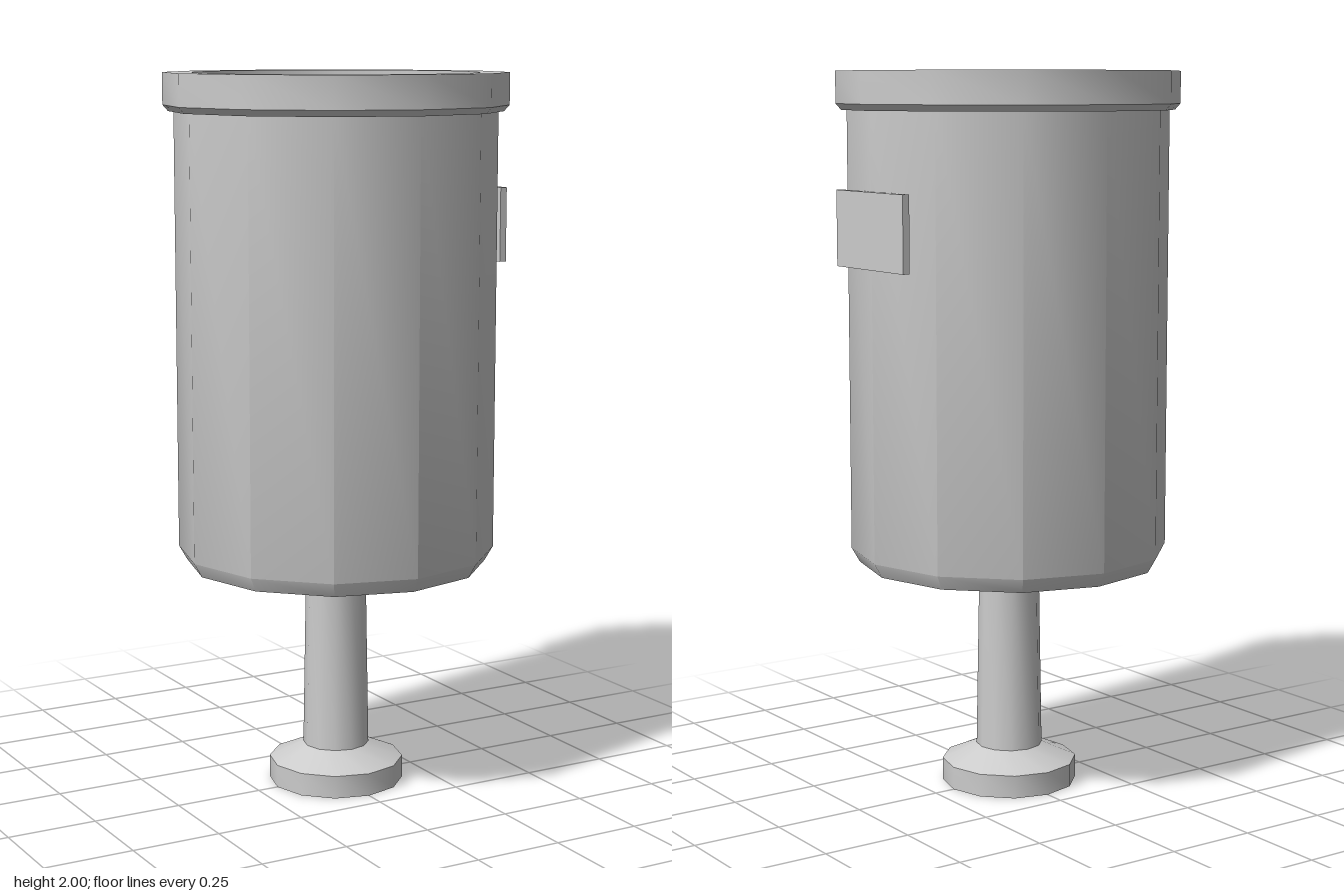
import * as THREE from 'three';
import { toCreasedNormals } from 'three/addons/utils/BufferGeometryUtils.js';

const SIDES = 12;

export function createModel() {
  const group = new THREE.Group();
  const metal = new THREE.MeshStandardMaterial({ color: 0xcccccc, side: THREE.DoubleSide });
  metal.name = 'light grey metal';

  const add = (name, geometry) => {
    const mesh = new THREE.Mesh(geometry, metal);
    mesh.name = name;
    group.add(mesh);
    return mesh;
  };

  // Twelve-sided turned part: smooth around, sharp at profile corners
  const turned = (name, profile) => {
    const points = profile.map(([r, y]) => new THREE.Vector2(r, y));
    return add(name, toCreasedNormals(new THREE.LatheGeometry(points, SIDES), 0.6));
  };

  // Bin body: closed bottom, chamfer, outer wall, overhanging rim, inner wall and floor
  turned('binBody', [
    [0, 0.64], [0.42, 0.64], [0.443, 0.68], [0.443, 1.895],
    [0.458, 1.895], [0.473, 1.912], [0.473, 2], [0.4, 2],
    [0.4, 0.68], [0, 0.68],
  ]);

  // Hollow post flaring into an open-bottomed foot
  turned('post', [[0.093, 0.107], [0.084, 0.64]]);
  turned('foot', [[0.19, 0], [0.19, 0.064], [0.093, 0.107]]);

  // Flat plate on the left side of the bin
  const plate = add('sidePlate', new THREE.BoxGeometry(0.02, 0.206, 0.336));
  plate.position.set(0.44, 1.58, 0);

  return group;
}
